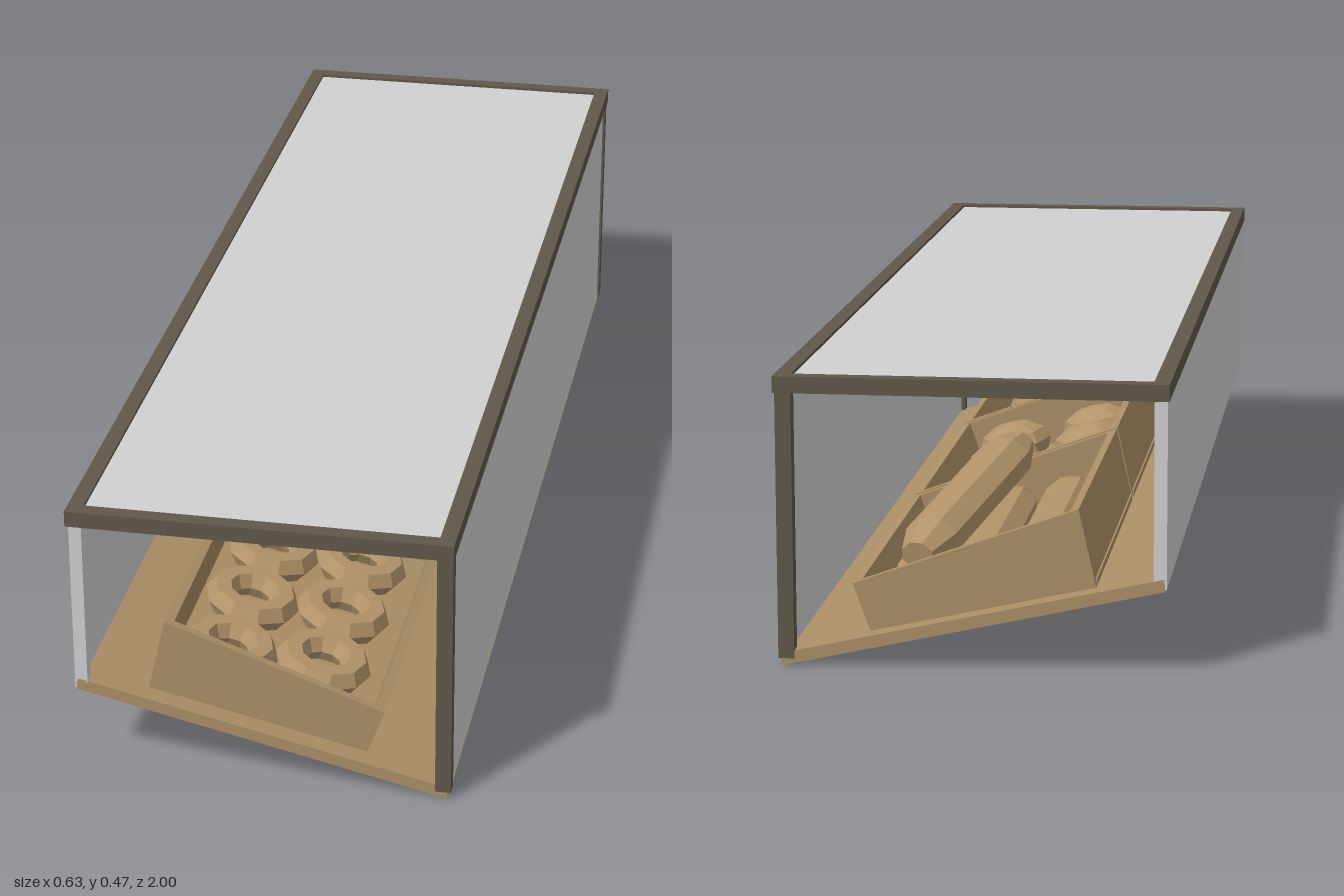
import * as THREE from 'three';

const mat = (name, color, double) => {
  const m = new THREE.MeshStandardMaterial({ color });
  m.name = name;
  m.flatShading = true;
  if (double) m.side = THREE.DoubleSide;
  return m;
};

export function createModel() {
  const root = new THREE.Group();
  root.name = 'displayCase';
  const wood = mat('wood', 0xab8f66);
  const frame = mat('darkFrame', 0x605849);
  const glass = mat('paleGlass', 0xd0d0d0);
  const bread = mat('bread', 0xb2946a);

  const add = (name, geometry, material, parent = root) => {
    const mesh = new THREE.Mesh(geometry, material);
    mesh.name = name;
    parent.add(mesh);
    return mesh;
  };
  // Box given by its low and high limits
  const box = (name, x0, x1, y0, y1, z0, z1, material) =>
    add(name, new THREE.BoxGeometry(x1 - x0, y1 - y0, z1 - z0), material)
      .position.set((x0 + x1) / 2, (y0 + y1) / 2, (z0 + z1) / 2);
  // Outline in x, y carried along z
  const prism = (name, points, z0, z1, material, parent = root) => {
    const shape = new THREE.Shape(points.map(p => new THREE.Vector2(...p)));
    const g = new THREE.ExtrudeGeometry(shape, { depth: z1 - z0, bevelEnabled: false });
    return add(name, g.translate(0, 0, z0), material, parent);
  };

  // Sloping base
  prism('base', [[-0.31, 0.14], [0.306, 0], [0.31, 0.02], [-0.308, 0.16]], -0.99, 0.99, wood);

  // Top frame and pane
  for (const s of [-1, 1]) {
    box('topLongRail', s * 0.302 - 0.013, s * 0.302 + 0.013, 0.448, 0.475, -1, 1, frame);
    box('topEndRail', -0.29, 0.29, 0.448, 0.475, s * 0.987 - 0.013, s * 0.987 + 0.013, frame);
    box('cornerPost', 0.287, 0.313, 0.012, 0.449, s * 0.979 - 0.012, s * 0.979 + 0.012, frame);
    box('paneEdge', -0.302, -0.291, 0.15, 0.449, s * 0.98 - 0.01, s * 0.98 + 0.01, glass);
  }
  box('topPane', -0.29, 0.29, 0.456, 0.47, -0.976, 0.976, glass);

  // Side panes
  box('leftPane', 0.296, 0.309, 0.004, 0.449, -0.969, 0.969, glass);
  box('rightPane', -0.312, -0.3, 0.143, 0.449, -0.99, 0.99, glass);

  // Open trays with flared sides
  const bl = [-0.197, 0.133], tl = [-0.168, 0.262], tr = [0.197, 0.13], br = [0.168, 0.05];
  const shift = ([x, y], dx, dy) => [x + dx, y + dy];
  const t = 0.014;
  const tray = (z0, z1) => {
    const g = new THREE.Group();
    g.name = 'tray';
    root.add(g);
    prism('trayEnd', [bl, br, tr, tl], z1 - t, z1, wood, g);
    prism('trayEnd', [bl, br, tr, tl], z0, z0 + t, wood, g);
    prism('trayHighSide', [bl, shift(bl, t, -0.003), shift(tl, t, -0.005), tl], z0 + t, z1 - t, wood, g);
    prism('trayLowSide', [shift(br, -t, 0.003), br, tr, shift(tr, -t, 0.005)], z0 + t, z1 - t, wood, g);
    prism('trayFloor', [bl, br, shift(br, 0, t), shift(bl, 0, t)], z0 + t, z1 - t, wood, g);
  };
  tray(0.325, 0.955);
  tray(-0.312, 0.312);
  tray(-0.955, -0.325);

  // Ring buns, lying on the slope
  const floorY = x => 0.088 - 0.227 * x;
  const ringGeo = new THREE.TorusGeometry(0.056, 0.026, 6, 10).rotateX(Math.PI / 2);
  for (let i = 0; i < 3; i++) {
    for (const [x, z] of [[-0.085, 0.84], [0.065, 0.8]]) {
      const ring = add('ringBun', ringGeo, bread);
      ring.position.set(x, floorY(x) + 0.046, z - i * 0.17);
      ring.rotation.z = -0.223;
    }
  }

  // Round rolls in the middle tray
  const rollGeo = new THREE.SphereGeometry(0.07, 8, 6).scale(1, 0.6, 1);
  for (let i = 0; i < 3; i++) {
    for (const x of [-0.085, 0.075]) {
      const roll = add('roll', rollGeo, bread);
      roll.position.set(x, floorY(x) + 0.055, (i - 1) * 0.17);
      roll.rotation.z = -0.223;
    }
  }

  // Long loaves: eight-sided with tapered ends
  const loaf = (from, to, width) => {
    const a = new THREE.Vector3(...from), b = new THREE.Vector3(...to);
    const h = a.distanceTo(b) / 2;
    const profile = [[0, -h], [0.6, -h], [1, -h * 0.72], [1, h * 0.72], [0.6, h], [0, h]]
      .map(([r, y]) => new THREE.Vector2(r * width, y));
    const g = new THREE.LatheGeometry(profile, 8, Math.PI / 8).rotateX(Math.PI / 2).scale(1, 0.85, 1);
    const mesh = add('loaf', g, bread);
    mesh.position.copy(a).add(b).multiplyScalar(0.5);
    mesh.lookAt(b);
  };
  loaf([-0.1, 0.165, -0.92], [-0.1, 0.165, -0.38], 0.045);
  loaf([0.0, 0.145, -0.92], [0.0, 0.145, -0.38], 0.045);
  loaf([0.1, 0.12, -0.92], [0.1, 0.12, -0.38], 0.045);
  loaf([0.1, 0.165, -0.9], [-0.01, 0.26, -0.46], 0.048);

  return root;
}
